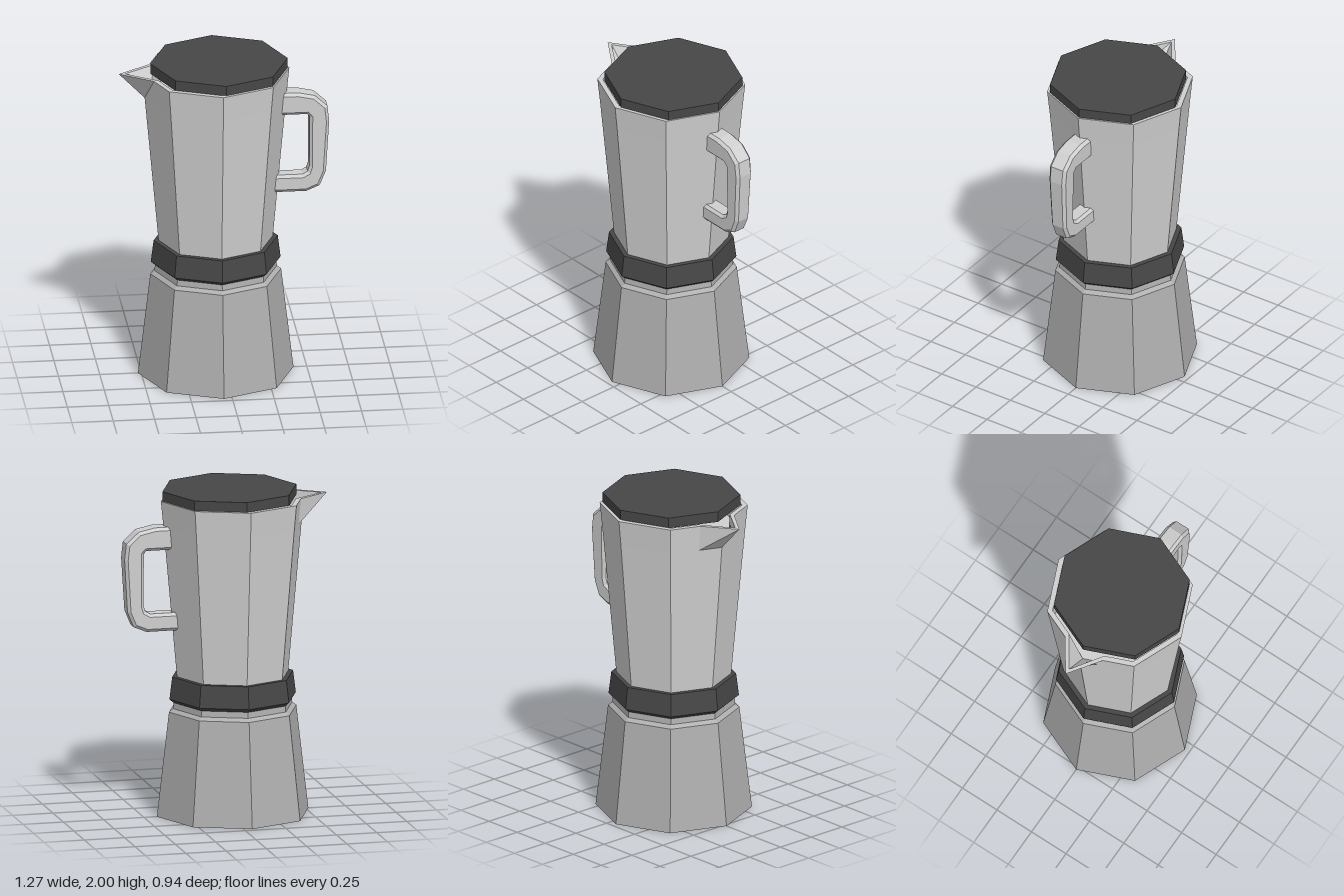
import * as THREE from 'three';

const SIDES = 8;
const AXIS_X = -0.05; // the pot sits left of centre to balance the handle

const mat = (name, color) => {
  const m = new THREE.MeshStandardMaterial({ color, flatShading: true });
  m.name = name;
  return m;
};

// Eight-sided turned part from [radius, y] pairs, listed bottom to top
function turned(name, profile, material, x = AXIS_X) {
  const points = profile.map(([r, y]) => new THREE.Vector2(r, y));
  const mesh = new THREE.Mesh(new THREE.LatheGeometry(points, SIDES), material);
  mesh.name = name;
  mesh.position.x = x;
  return mesh;
}

// Octagonal ring with two extra points beside the -x corner, which can be pulled out as a spout
function spoutRing(r, y, tip = r) {
  const corner = (i) => {
    const a = (i / SIDES) * Math.PI * 2;
    return new THREE.Vector3(r * Math.cos(a), y, r * Math.sin(a));
  };
  const ring = [];
  for (let i = 0; i < SIDES; i++) {
    if (i !== 4) {
      ring.push(corner(i));
      continue;
    }
    ring.push(corner(4).lerp(corner(3), 0.44));
    ring.push(new THREE.Vector3(-tip, y, 0));
    ring.push(corner(4).lerp(corner(5), 0.44));
  }
  return ring;
}

// Joins successive rings with quads
function loft(rings) {
  const pos = [];
  for (let k = 0; k < rings.length - 1; k++) {
    const lo = rings[k], hi = rings[k + 1];
    for (let i = 0; i < lo.length; i++) {
      const j = (i + 1) % lo.length;
      for (const p of [lo[i], hi[i], lo[j], lo[j], hi[i], hi[j]]) pos.push(p.x, p.y, p.z);
    }
  }
  const g = new THREE.BufferGeometry();
  g.setAttribute('position', new THREE.Float32BufferAttribute(pos, 3));
  g.computeVertexNormals();
  return g;
}

// Chamfered C-shaped grip, narrowing towards its lower end
function handleGeometry() {
  const bevel = 0.018;
  const outline = [
    [0.33, 1.772], [0.44, 1.772], [0.535, 1.752], [0.603, 1.69], [0.613, 1.6],
    [0.594, 1.28], [0.56, 1.198], [0.49, 1.168], [0.27, 1.168],
    [0.27, 1.242], [0.475, 1.242], [0.516, 1.265], [0.53, 1.31],
    [0.53, 1.64], [0.505, 1.668], [0.33, 1.668],
  ];
  const shape = new THREE.Shape(outline.map(([x, y]) => new THREE.Vector2(x, y)));
  const depth = 0.124 - 2 * bevel;
  const g = new THREE.ExtrudeGeometry(shape, {
    depth, bevelEnabled: true, bevelSize: bevel, bevelThickness: bevel, bevelSegments: 1,
  });
  g.translate(0, 0, -depth / 2);
  const p = g.attributes.position;
  for (let i = 0; i < p.count; i++) {
    p.setZ(i, p.getZ(i) * THREE.MathUtils.mapLinear(p.getY(i), 1.15, 1.79, 0.82, 1));
  }
  g.computeVertexNormals();
  return g;
}

export function createModel() {
  const light = mat('light aluminium', 0xd0d0d0);
  const grey = mat('grey aluminium', 0xb0b0b0);
  const dark = mat('dark plastic', 0x474747);
  const group = new THREE.Group();
  group.name = 'stovetopCoffeePot';

  // Water chamber with its stepped neck
  group.add(turned('waterChamber', [
    [0, 0], [0.47, 0], [0.395, 0.64], [0.37, 0.66], [0.365, 0.71],
  ], grey));

  // Dark collar between the chambers
  group.add(turned('collar', [
    [0, 0.695], [0.365, 0.695], [0.392, 0.718], [0.375, 0.855], [0, 0.855],
  ], dark));

  // Jug: outer wall, rim with spout, inner wall and floor
  const jug = new THREE.Mesh(loft([
    spoutRing(0.345, 0.85),
    spoutRing(0.429, 1.78),
    spoutRing(0.445, 1.94, 0.585),
    spoutRing(0.412, 1.94, 0.548),
    spoutRing(0.4, 1.79),
    spoutRing(0, 1.79),
  ]), light);
  jug.name = 'jugWithSpout';
  jug.position.x = AXIS_X;
  group.add(jug);

  // Flat lid
  group.add(turned('lid', [
    [0, 1.935], [0.415, 1.935], [0.415, 2], [0, 2],
  ], dark, -0.03));

  // Handle
  const handle = new THREE.Mesh(handleGeometry(), light);
  handle.name = 'handle';
  group.add(handle);

  return group;
}
